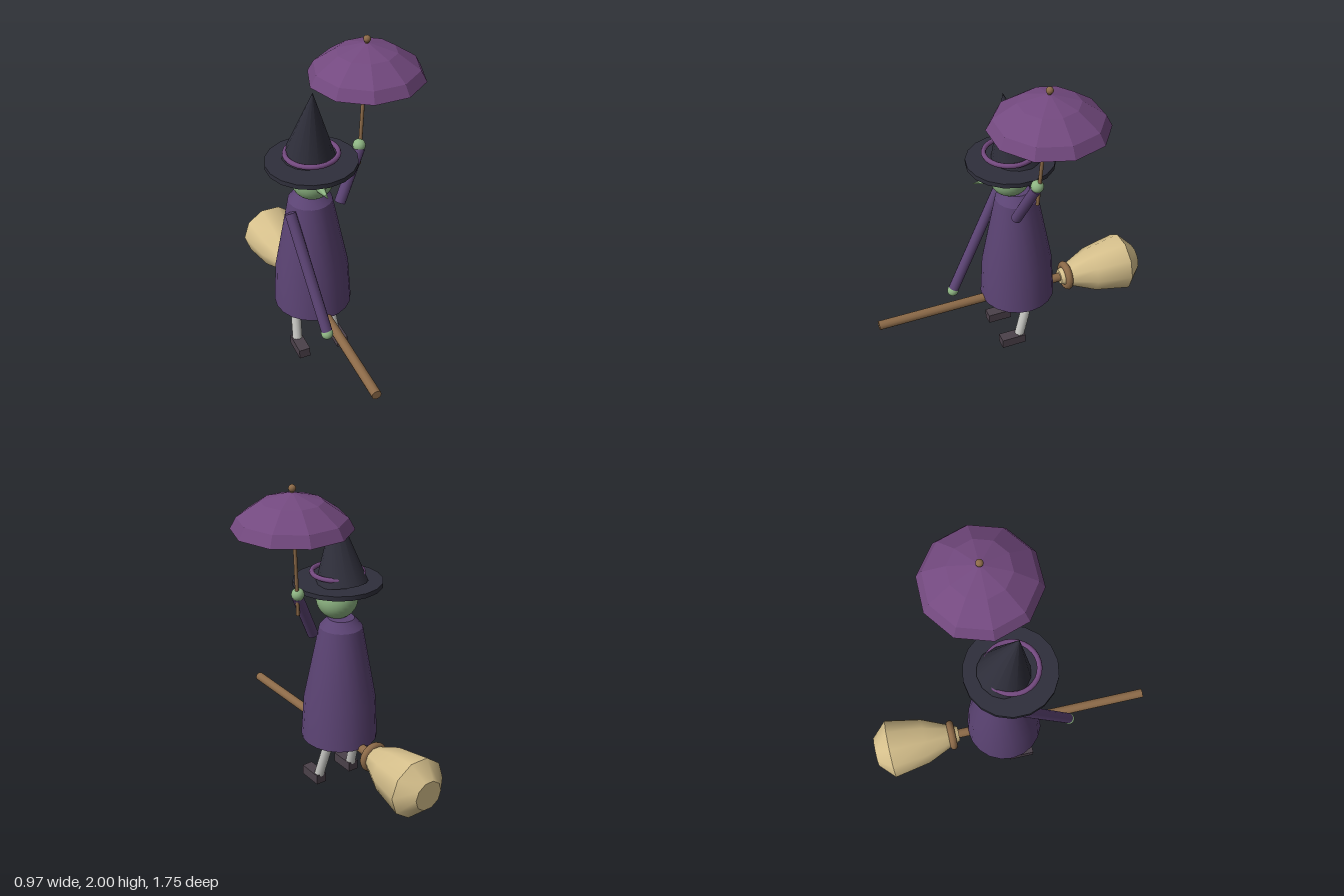
import * as THREE from 'three';
import { toCreasedNormals } from 'three/addons/utils/BufferGeometryUtils.js';

const mat = (name, color) => {
  const m = new THREE.MeshStandardMaterial({ color });
  m.name = name;
  return m;
};

export function createModel() {
  const dressPurple = mat('dress purple', 0x5b4373);
  const plum = mat('plum', 0x73497f);
  const hatBlack = mat('hat black', 0x2f2f3b);
  const skin = mat('green skin', 0x8db482);
  const eyeBlack = mat('eye black', 0x1a1a22);
  const wood = mat('wood', 0x8c6a48);
  const straw = mat('straw', 0xd6c08c);
  const stocking = mat('stocking grey', 0xc6c6c2);
  const shoeDark = mat('shoe dark', 0x4b414a);

  const model = new THREE.Group();
  model.name = 'witch';
  const CX = -0.225; // centre line of the figure and the broom

  const add = (name, geometry, material, x = 0, y = 0, z = 0) => {
    const mesh = new THREE.Mesh(geometry, material);
    mesh.name = name;
    mesh.position.set(x, y, z);
    model.add(mesh);
    return mesh;
  };

  // Straight round rod between two points
  const rod = (name, p, q, radius, material, sides = 12) => {
    const a = new THREE.Vector3(...p), b = new THREE.Vector3(...q);
    const dir = b.clone().sub(a);
    const mesh = add(name, new THREE.CylinderGeometry(radius, radius, dir.length(), sides), material);
    mesh.position.copy(a).add(b).multiplyScalar(0.5);
    mesh.quaternion.setFromUnitVectors(new THREE.Vector3(0, 1, 0), dir.normalize());
    return mesh;
  };

  const ball = (name, radius, material, x, y, z, seg = 16) =>
    add(name, new THREE.SphereGeometry(radius, seg, Math.ceil(seg * 0.75)), material, x, y, z);

  // Closed turned shape from [radius, height] pairs, bottom to top
  const turned = (profile, sides, crease) => toCreasedNormals(
    new THREE.LatheGeometry(profile.map(([r, h]) => new THREE.Vector2(r, h)), sides, Math.PI / 2), crease);

  // Dress
  add('dress', turned([[0, 0.335], [0.235, 0.335], [0.22, 0.6], [0.13, 1.07], [0.08, 1.125], [0, 1.125]], 20, 0.5),
    dressPurple, CX, 0, -0.042);

  // Head and face
  ball('head', 0.125, skin, CX, 1.235, 0, 28);
  for (const s of [-1, 1]) ball('eye', 0.02, eyeBlack, CX + s * 0.047, 1.272, 0.108, 12);
  const nose = add('nose', new THREE.ConeGeometry(0.029, 0.13, 8), skin, CX, 1.233, 0.17);
  nose.rotation.x = Math.PI / 2;

  // Hat with a crown that leans forward
  add('hatBrim', new THREE.CylinderGeometry(0.265, 0.265, 0.028, 18), hatBlack, CX, 1.339, -0.006);
  const crown = add('hatCrown', new THREE.ConeGeometry(0.155, 0.455, 14), hatBlack, CX, 1.568, -0.003);
  crown.rotation.x = 0.17;
  const band = add('hatBand', new THREE.TorusGeometry(0.15, 0.015, 8, 28), plum, CX, 1.4, 0);
  band.rotation.x = Math.PI / 2;

  // Arms and hands
  rod('rightArm', [-0.372, 1.045, 0.02], [-0.302, 0.405, 0.36], 0.033, dressPurple);
  ball('rightHand', 0.036, skin, -0.302, 0.39, 0.366);
  rod('leftArm', [-0.066, 1.035, 0.022], [0.086, 1.33, -0.04], 0.033, dressPurple);
  ball('leftHand', 0.038, skin, 0.086, 1.346, -0.045);

  // Legs and shoes
  for (const s of [-1, 1]) {
    rod('leg', [CX + s * 0.1, 0.39, -0.1], [CX + s * 0.125, 0.06, -0.008], 0.031, stocking);
    add('shoe', new THREE.BoxGeometry(0.07, 0.062, 0.157), shoeDark, CX + s * 0.127, 0.034, 0.043);
  }

  // Umbrella
  rod('umbrellaPole', [0.086, 1.22, -0.047], [0.146, 1.97, -0.083], 0.011, wood, 10);
  add('umbrellaCanopy', turned([[0, 1.755], [0.337, 1.755], [0.302, 1.82], [0.172, 1.91], [0, 1.96]], 10, 0.01),
    plum, 0.146, 0, -0.083);
  ball('umbrellaKnob', 0.021, wood, 0.146, 1.979, -0.083, 12);

  // Broom, lying along z with the bristles behind
  const BY = 0.333;
  rod('broomHandle', [CX, BY, 0.877], [CX, BY, -0.4], 0.029, wood);
  const binding = add('broomBinding', new THREE.TorusGeometry(0.072, 0.024, 10, 24), wood, CX, BY, -0.385);
  binding.renderOrder = 0;
  const bristles = add('broomBristles',
    turned([[0, 0.34], [0.048, 0.34], [0.075, 0.4], [0.147, 0.558], [0.19, 0.783], [0.093, 0.876], [0, 0.876]], 10, 0.65),
    straw, CX, BY, 0);
  bristles.rotation.x = -Math.PI / 2;

  return model;
}
